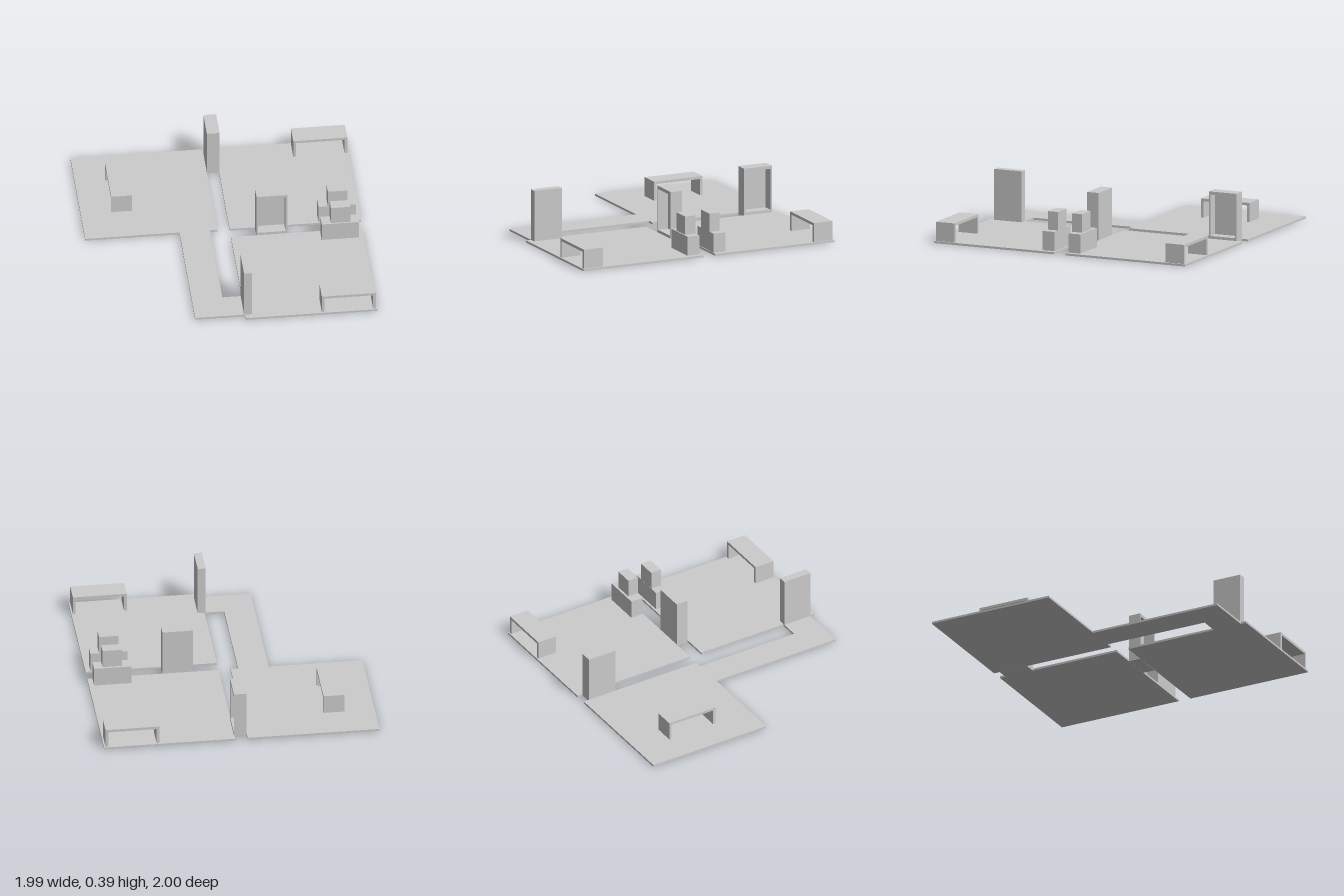
import * as THREE from 'three';

const material = new THREE.MeshStandardMaterial({ color: 0xcccccc, flatShading: true });
const FLOOR = 0.015;

// Box given by its extents along each axis
function block(name, [x0, x1], [y0, y1], [z0, z1]) {
  const mesh = new THREE.Mesh(new THREE.BoxGeometry(x1 - x0, y1 - y0, z1 - z0), material);
  mesh.position.set((x0 + x1) / 2, (y0 + y1) / 2, (z0 + z1) / 2);
  mesh.name = name;
  return mesh;
}

function outline(points) {
  return new THREE.Shape(points.map(([x, y]) => new THREE.Vector2(x, y)));
}

function extrude(name, shape, depth) {
  const geometry = new THREE.ExtrudeGeometry(shape, { depth, bevelEnabled: false });
  const mesh = new THREE.Mesh(geometry, material);
  mesh.name = name;
  return mesh;
}

// L-shaped corridor slab, drawn in x and -z, then laid flat
function corridor() {
  const mesh = extrude('corridorFloor', outline([
    [-0.32, 0.05], [-0.32, -0.957], [0.042, -0.957], [0.042, -0.738], [-0.1, -0.738], [-0.1, 0.05],
  ]), FLOOR);
  mesh.rotation.x = -Math.PI / 2;
  return mesh;
}

// Table: a top on two end panels, long along local x and centred
function table(name, x, z, turn = 0) {
  const group = new THREE.Group();
  const w = 0.195, d = 0.075, h = 0.155, t = 0.02;
  group.name = name;
  group.add(block('tableTop', [-w, w], [h - t, h], [-d, d]));
  for (const s of [-1, 1]) {
    const ends = s < 0 ? [-w, -w + t] : [w - t, w];
    group.add(block('endPanel', ends, [FLOOR - 0.005, h - t], [-d, d]));
  }
  group.position.set(x, 0, z);
  group.rotation.y = turn;
  return group;
}

// Doorway: a deep frame open on local +z, closed by a thin panel behind
function doorway(name, x, z, turn = 0) {
  const group = new THREE.Group();
  const w = 0.111, h = 0.36, depth = 0.092, back = 0.012;
  const frame = outline([[-w, 0], [w, 0], [w, h], [-w, h]]);
  const i = 0.099;
  frame.holes.push(outline([[-i, 0.035], [-i, 0.337], [i, 0.337], [i, 0.035]]));
  const jambs = extrude('doorFrame', frame, depth - back);
  jambs.position.z = back - depth / 2;
  group.add(jambs, block('doorPanel', [-w, w], [0, h], [-depth / 2, back - depth / 2]));
  group.name = name;
  group.position.set(x, 0, z);
  group.rotation.y = turn;
  return group;
}

// Stepped unit: a low wide block with a smaller one on top
function steppedUnit(name, lowZ, highZ) {
  const group = new THREE.Group();
  group.name = name;
  group.add(
    block('lowerBlock', [0.685, 0.955], [FLOOR - 0.005, 0.155], lowZ),
    block('upperBlock', [0.752, 0.892], [0.155, 0.29], highZ),
  );
  return group;
}

export function createModel() {
  const model = new THREE.Group();
  model.name = 'floorPlan';

  // Floors
  model.add(
    block('backRightFloor', [-1, -0.046], [0, FLOOR], [-1, -0.05]),
    block('backLeftFloor', [0.042, 0.992], [0, FLOOR], [-1, -0.05]),
    block('frontLeftFloor', [0.042, 0.992], [0, FLOOR], [0.044, 1]),
    corridor(),
  );

  // Doors
  model.add(
    doorway('sideDoorway', 0.001, -0.844, Math.PI / 2),
    doorway('middleDoorway', 0.337, -0.003),
    block('corridorDoor', [0.033, 0.091], [0.001, 0.387], [0.738, 0.957]),
  );

  // Furniture
  model.add(
    table('backRightTable', -0.705, -0.536, Math.PI / 2),
    table('backLeftTable', 0.786, -0.915),
    table('frontLeftTable', 0.786, 0.915),
    steppedUnit('backSteppedUnit', [-0.149, -0.056], [-0.132, -0.052]),
    steppedUnit('frontSteppedUnit', [0.059, 0.151], [0.06, 0.141]),
  );
  return model;
}
